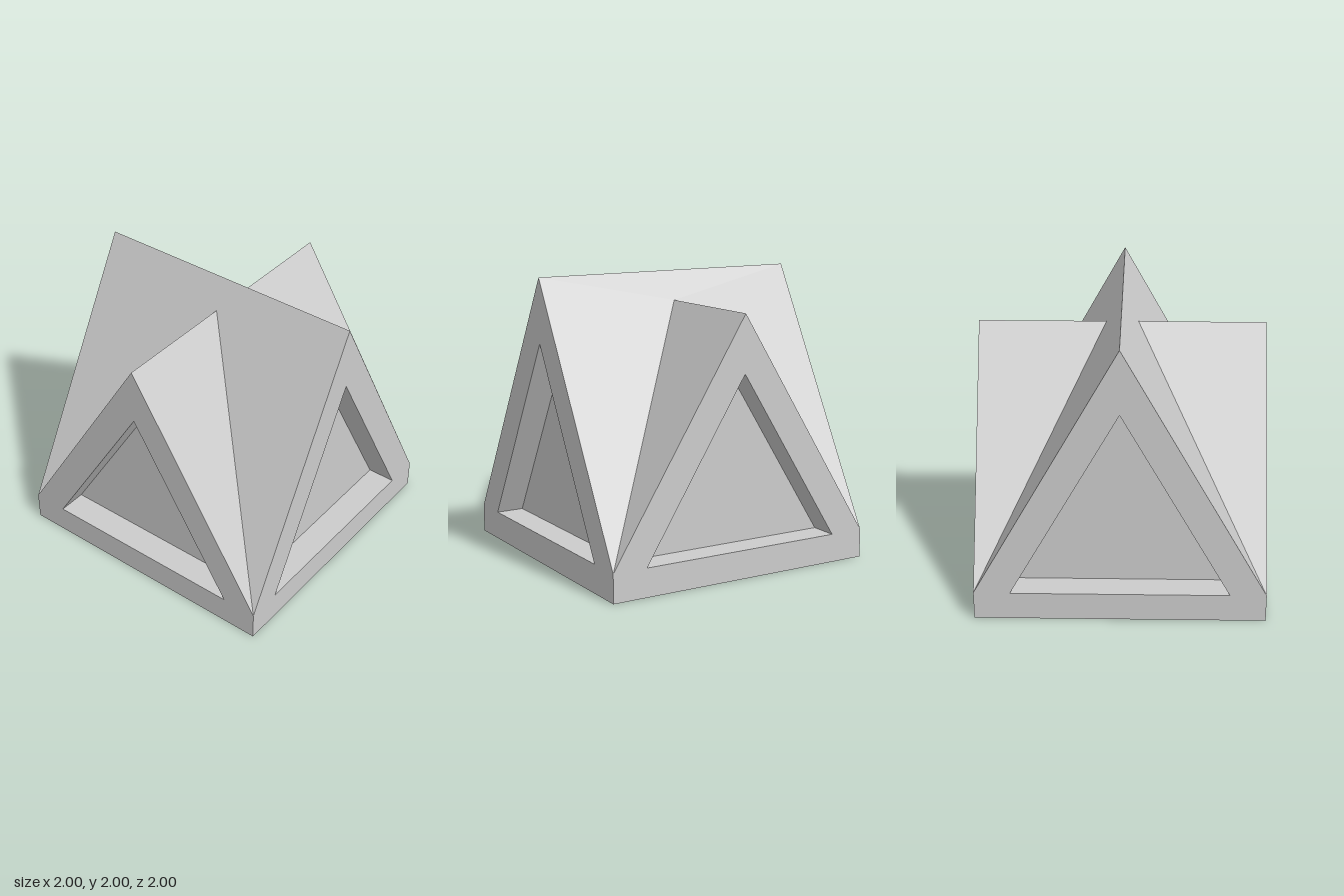
import * as THREE from 'three';

const EAVE = 0.2, RIDGE = 2, LOW_RIDGE = 1.8, DEPTH = 0.2;

const grey = new THREE.MeshStandardMaterial({ color: 0xcccccc });
grey.name = 'pale grey';

// Fan of triangles for each polygon, spreading from its first corner
function faces(name, polygons) {
  const pos = [];
  for (const p of polygons) {
    for (let i = 1; i < p.length - 1; i++) pos.push(...p[0], ...p[i], ...p[i + 1]);
  }
  const geo = new THREE.BufferGeometry();
  geo.setAttribute('position', new THREE.Float32BufferAttribute(pos, 3));
  geo.computeVertexNormals();
  const mesh = new THREE.Mesh(geo, grey);
  mesh.name = name;
  return mesh;
}

function outline(points) {
  return points.map(([x, y]) => new THREE.Vector2(x, y));
}

// Gable wall facing +z with a sunken triangular panel
function gable(name, peak, panelPeak) {
  const group = new THREE.Group();
  group.name = name;
  const tri = [[-0.75, EAVE], [0.75, EAVE], [0, panelPeak]];

  const shape = new THREE.Shape(outline([[-1, 0], [1, 0], [1, EAVE], [0, peak], [-1, EAVE]]));
  shape.holes.push(new THREE.Path(outline([...tri].reverse())));
  const frame = new THREE.Mesh(new THREE.ShapeGeometry(shape), grey);
  frame.name = 'gableFrame';
  frame.position.z = 1;

  const z = 1 - DEPTH;
  const reveal = faces('panelReveal', tri.map((a, i) => {
    const b = tri[(i + 1) % 3];
    return [[...a, 1], [...b, 1], [...b, z], [...a, z]];
  }));
  const panel = faces('recessedPanel', [tri.map((p) => [...p, z])]);
  group.add(frame, reveal, panel);
  return group;
}

export function createModel() {
  const model = new THREE.Group();
  model.name = 'crossGableRoof';

  // Where the lower ridge runs into the slope of the taller roof
  const v = 1 - (LOW_RIDGE - EAVE) / (RIDGE - EAVE);

  for (const turn of [0, Math.PI]) {
    const half = new THREE.Group();
    half.name = turn ? 'backHalf' : 'frontHalf';
    half.rotation.y = turn;

    const sideGable = gable('sideGable', LOW_RIDGE, 1.4);
    sideGable.rotation.y = Math.PI / 2;

    half.add(
      gable('endGable', RIDGE, 1.55),
      sideGable,
      // Tall roof slope, notched by the crossing roof
      faces('tallRoofSlope', [
        [[v, LOW_RIDGE, 0], [1, EAVE, -1], [0, RIDGE, -1], [0, RIDGE, 1], [1, EAVE, 1]],
      ]),
      // Low roof slope, cut in two by the tall roof
      faces('lowRoofSlopes', [
        [[v, LOW_RIDGE, 0], [1, EAVE, 1], [1, LOW_RIDGE, 0]],
        [[-v, LOW_RIDGE, 0], [-1, LOW_RIDGE, 0], [-1, EAVE, 1]],
      ]),
    );
    model.add(half);
  }

  // Underside
  model.add(faces('base', [[[-1, 0, -1], [1, 0, -1], [1, 0, 1], [-1, 0, 1]]]));
  return model;
}
